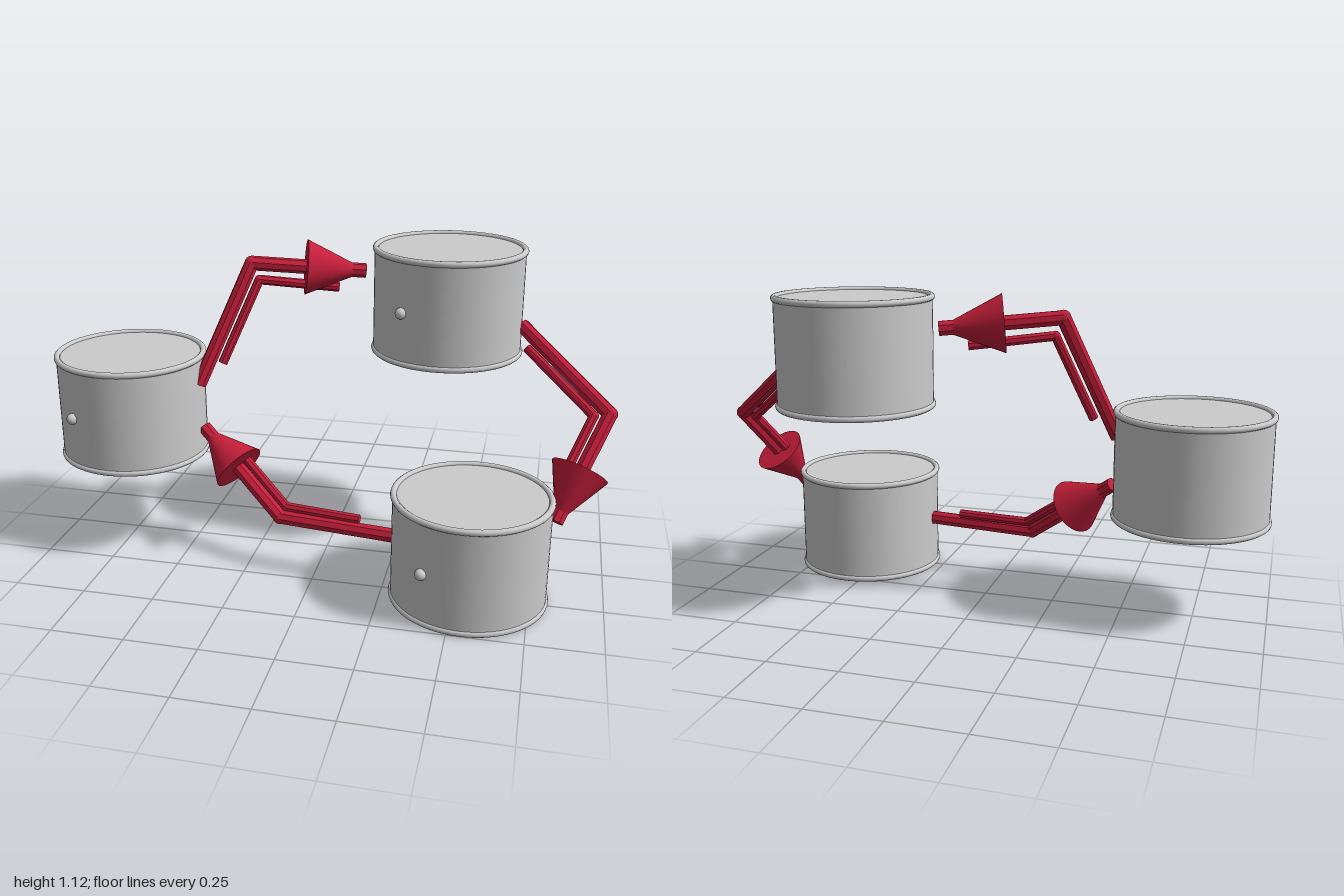
import * as THREE from 'three';

const V = (p) => new THREE.Vector3(...p);
const UP = new THREE.Vector3(0, 1, 0);

export function createModel() {
  const model = new THREE.Group();
  const grey = new THREE.MeshStandardMaterial({ color: 0xcccccc });
  const red = new THREE.MeshStandardMaterial({ color: 0xc41e3a });
  const redFlat = new THREE.MeshStandardMaterial({ color: 0xc41e3a, flatShading: true });

  function add(parent, name, geometry, material, x = 0, y = 0, z = 0) {
    const mesh = new THREE.Mesh(geometry, material);
    mesh.name = name;
    mesh.position.set(x, y, z);
    parent.add(mesh);
    return mesh;
  }

  // Tapered cylinder running between two points
  function span(parent, name, a, b, r0, r1, sides, material) {
    const dir = b.clone().sub(a);
    const mid = a.clone().add(b).multiplyScalar(0.5);
    const geometry = new THREE.CylinderGeometry(r1, r0, dir.length(), sides);
    const mesh = add(parent, name, geometry, material, mid.x, mid.y, mid.z);
    mesh.quaternion.setFromUnitVectors(UP, dir.normalize());
  }

  // Bent rod through a few points, with a ball filling each elbow
  function rod(parent, name, points, r) {
    const p = points.map(V);
    for (let i = 0; i < p.length - 1; i++) span(parent, name, p[i], p[i + 1], r, r, 8, redFlat);
    for (const q of p.slice(1, -1)) add(parent, name + 'Elbow', new THREE.SphereGeometry(r, 12, 8), red, q.x, q.y, q.z);
  }

  // Drums: wall and ends, rolled rims, a small stud on the front
  const height = 0.385;
  for (const [name, x, y, z] of [
    ['leftDrum', -0.725, 0.345, 0.02],
    ['upperDrum', 0.39, 0.727, -0.235],
    ['lowerDrum', 0.545, 0.003, 0.235],
  ]) {
    const drum = new THREE.Group();
    drum.name = name;
    drum.position.set(x, y, z);
    add(drum, 'drumBody', new THREE.CylinderGeometry(0.265, 0.265, height - 0.02, 64), grey, 0, height / 2, 0);
    for (const ry of [0.011, height - 0.011]) {
      const rim = add(drum, 'drumRim', new THREE.TorusGeometry(0.261, 0.011, 10, 64), grey, 0, ry, 0);
      rim.rotation.x = Math.PI / 2;
    }
    add(drum, 'stud', new THREE.SphereGeometry(0.02, 16, 12), grey, -0.136, 0.192, 0.232);
    model.add(drum);
  }

  // Arrows: thick bent shaft, slimmer companion rod, cone head
  const arrows = [
    {
      name: 'risingArrow',
      main: [[-0.465, 0.62, 0.03], [-0.3, 1.04, -0.115], [0.09, 1.005, -0.235]],
      slim: [[-0.39, 0.69, -0.02], [-0.275, 0.98, -0.12], [0, 0.948, -0.2]],
      head: [[-0.115, 1.022, -0.173], [0.05, 1.008, -0.223]],
    },
    {
      name: 'fallingArrow',
      main: [[0.655, 0.84, -0.225], [0.97, 0.622, 0.02], [0.82, 0.31, 0.23]],
      slim: [[0.68, 0.775, -0.165], [0.918, 0.612, 0.02], [0.85, 0.47, 0.12]],
      head: [[0.885, 0.455, 0.13], [0.833, 0.337, 0.212]],
    },
    {
      name: 'returnArrow',
      main: [[0.29, 0.2, 0.235], [-0.13, 0.2, 0.182], [-0.455, 0.45, 0.02]],
      slim: [[0.16, 0.234, 0.205], [-0.11, 0.237, 0.17], [-0.28, 0.365, 0.08]],
      head: [[-0.305, 0.336, 0.095], [-0.42, 0.424, 0.038]],
    },
  ];
  for (const { name, main, slim, head } of arrows) {
    const arrow = new THREE.Group();
    arrow.name = name;
    rod(arrow, 'shaft', main, 0.026);
    rod(arrow, 'slimRod', slim, 0.017);
    span(arrow, 'arrowHead', V(head[0]), V(head[1]), 0.098, 0.022, 32, red);
    model.add(arrow);
  }
  return model;
}
